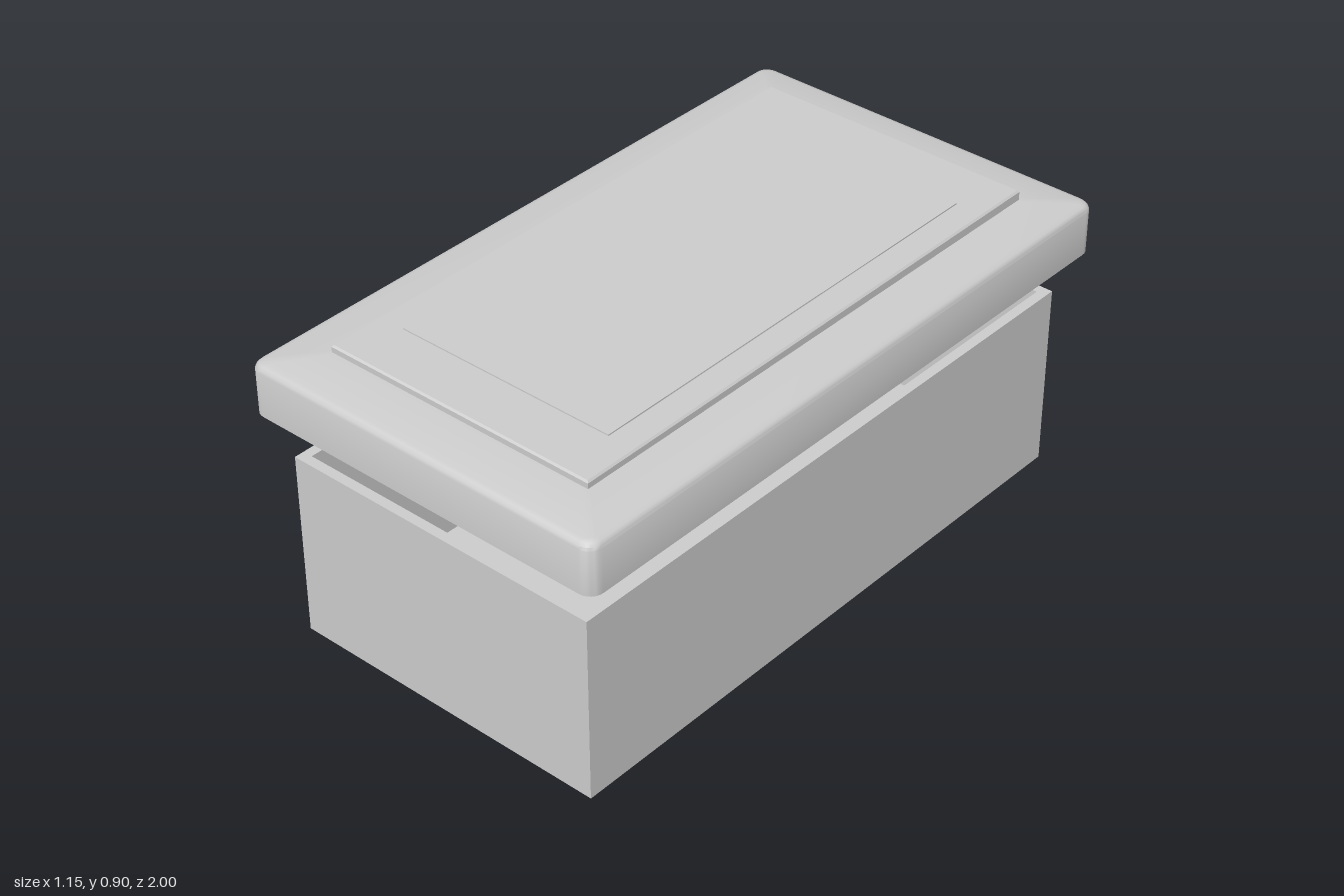
import * as THREE from 'three';
import { toCreasedNormals } from 'three/addons/utils/BufferGeometryUtils.js';

// Rectangle outline, counter-clockwise from above; seg = 0 gives sharp corners
function ring([hx, hz, y, r = 0], seg, tilt) {
  const pts = [];
  const corners = [[1, -1], [-1, -1], [-1, 1], [1, 1]];
  corners.forEach(([sx, sz], q) => {
    for (let i = 0; i <= seg; i++) {
      const a = (q + (seg ? i / seg : 0)) * Math.PI / 2;
      const x = sx * (hx - r) + (seg ? r * Math.cos(a) : 0);
      const z = sz * (hz - r) - (seg ? r * Math.sin(a) : 0);
      pts.push([x, y - tilt * z, z]);
    }
  });
  return pts;
}

// Skins a chain of [halfX, halfZ, y, radius] outlines and caps the chosen ends
function loft(name, rows, { seg = 0, tilt = 0, capStart = true } = {}) {
  const n = 4 * (seg + 1), last = rows.length - 1;
  const pos = rows.flatMap((row) => ring(row, seg, tilt)).flat();
  const index = [];
  for (let i = 0; i < last; i++) {
    for (let j = 0; j < n; j++) {
      const a = i * n + j, b = i * n + (j + 1) % n;
      index.push(a, b, b + n, a, b + n, a + n);
    }
  }
  const c0 = pos.length / 3;
  pos.push(0, rows[0][2], 0, 0, rows[last][2], 0);
  for (let j = 0; j < n; j++) {
    const k = (j + 1) % n;
    if (capStart) index.push(c0, k, j);
    index.push(c0 + 1, last * n + j, last * n + k);
  }
  const geo = new THREE.BufferGeometry();
  geo.setAttribute('position', new THREE.Float32BufferAttribute(pos, 3));
  geo.setIndex(index);
  const mesh = new THREE.Mesh(
    toCreasedNormals(geo, 0.6),
    new THREE.MeshStandardMaterial({ color: 0xcccccc })
  );
  mesh.name = name;
  return mesh;
}

export function createModel() {
  const model = new THREE.Group();
  model.name = 'boxWithLid';

  // Open box: recessed underside, outer walls, rim, inner walls, floor
  model.add(loft('box', [
    [0.43, 0.87, 0.03],
    [0.43, 0.87, 0],
    [0.5, 0.94, 0],
    [0.5, 0.94, 0.56],
    [0.47, 0.91, 0.56],
    [0.47, 0.91, 0.05],
  ]));

  const lid = new THREE.Group();
  lid.name = 'lid';
  model.add(lid);

  // Hollow lid: ceiling, inner walls, rim, outer walls, rounded edge, sloping top
  lid.add(loft('lidShell', [
    [0.535, 0.96, 0.83, 0.01],
    [0.535, 0.96, 0.7, 0.01],
    [0.575, 1, 0.7, 0.04],
    [0.575, 1, 0.832, 0.04],
    [0.572, 0.997, 0.84, 0.038],
    [0.565, 0.99, 0.847, 0.034],
    [0.552, 0.977, 0.851, 0.026],
    [0.43, 0.85, 0.866, 0.005],
  ], { seg: 6 }));

  // Raised panel on the lid, rising slightly towards the back
  lid.add(loft('lidPanel', [
    [0.43, 0.85, 0.855],
    [0.43, 0.85, 0.886],
    [0.425, 0.845, 0.891],
  ], { tilt: 0.005, capStart: false }));

  // Thin inner panel
  lid.add(loft('lidInnerPanel', [
    [0.345, 0.685, 0.885],
    [0.345, 0.685, 0.895],
  ], { tilt: 0.005, capStart: false }));

  return model;
}
